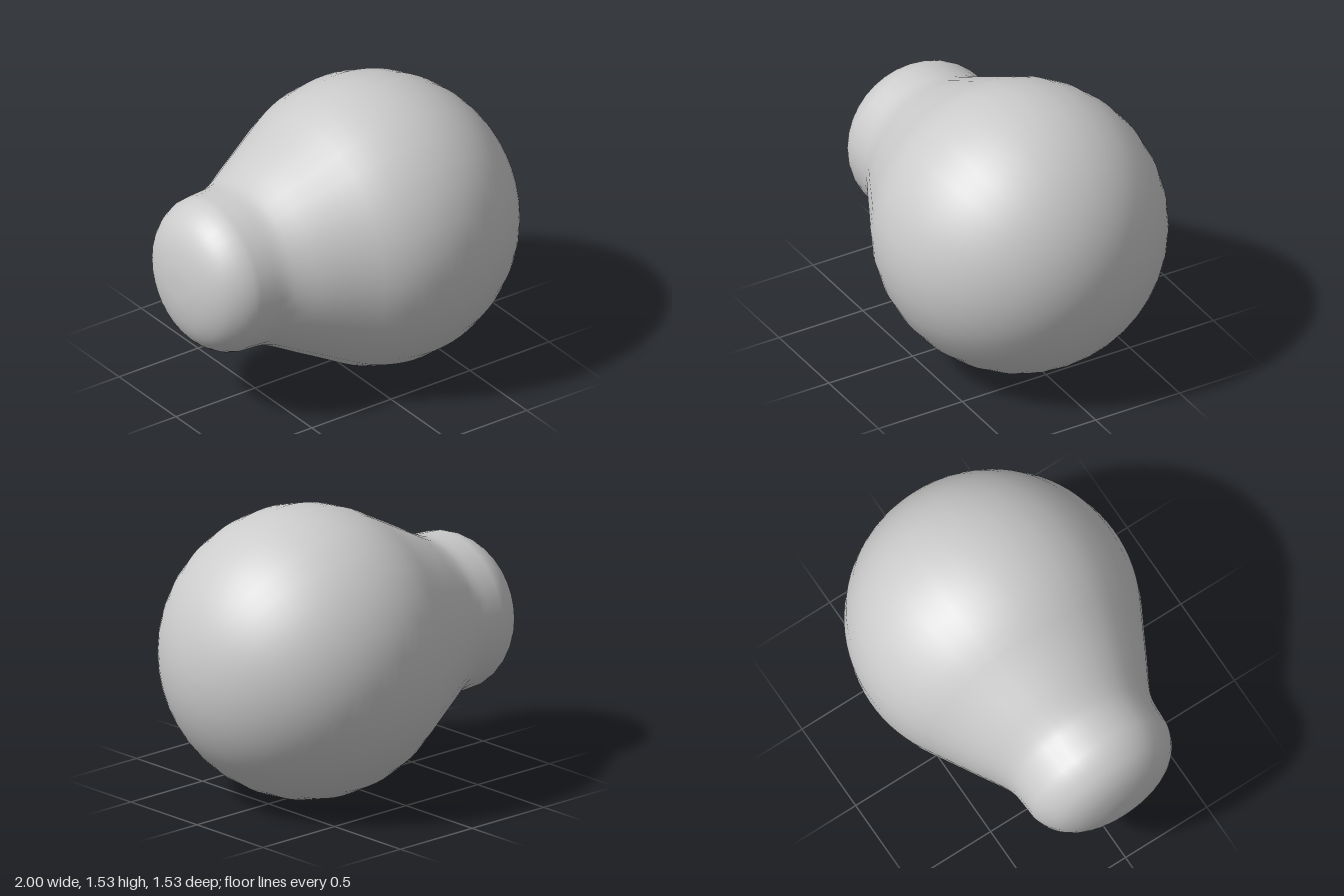
import * as THREE from 'three';

const RADIUS = 0.767; // globe radius
const CENTER = 0.233; // globe centre along the axis

export function createModel() {
  const group = new THREE.Group();
  group.name = 'bulb';

  // Domed cap and pinched neck: [radius, position along axis]
  const neck = new THREE.SplineCurve([
    [0, -1], [0.11, -0.995], [0.232, -0.968], [0.323, -0.92], [0.382, -0.855],
    [0.414, -0.785], [0.421, -0.72], [0.43, -0.61], [0.462, -0.525],
    [0.53, -0.4], [0.61, -0.25], [0.677, -0.127],
  ].map(([r, a]) => new THREE.Vector2(r, a)));
  const profile = neck.getPoints(44);
  profile[0].x = 0;

  // Globe arc, tangent to the neck's flare and ending at the pole
  const start = THREE.MathUtils.degToRad(-28);
  const steps = 28;
  for (let i = 1; i <= steps; i++) {
    const t = start + (Math.PI / 2 - start) * (i / steps);
    profile.push(new THREE.Vector2(
      i === steps ? 0 : RADIUS * Math.cos(t),
      CENTER + RADIUS * Math.sin(t),
    ));
  }

  // One revolved skin laid on its side, globe towards +x
  const body = new THREE.Mesh(
    new THREE.LatheGeometry(profile, 32),
    new THREE.MeshStandardMaterial({ color: 0xcccccc }),
  );
  body.name = 'bulbBody';
  body.rotation.z = -Math.PI / 2;
  body.position.y = RADIUS;
  group.add(body);
  return group;
}
